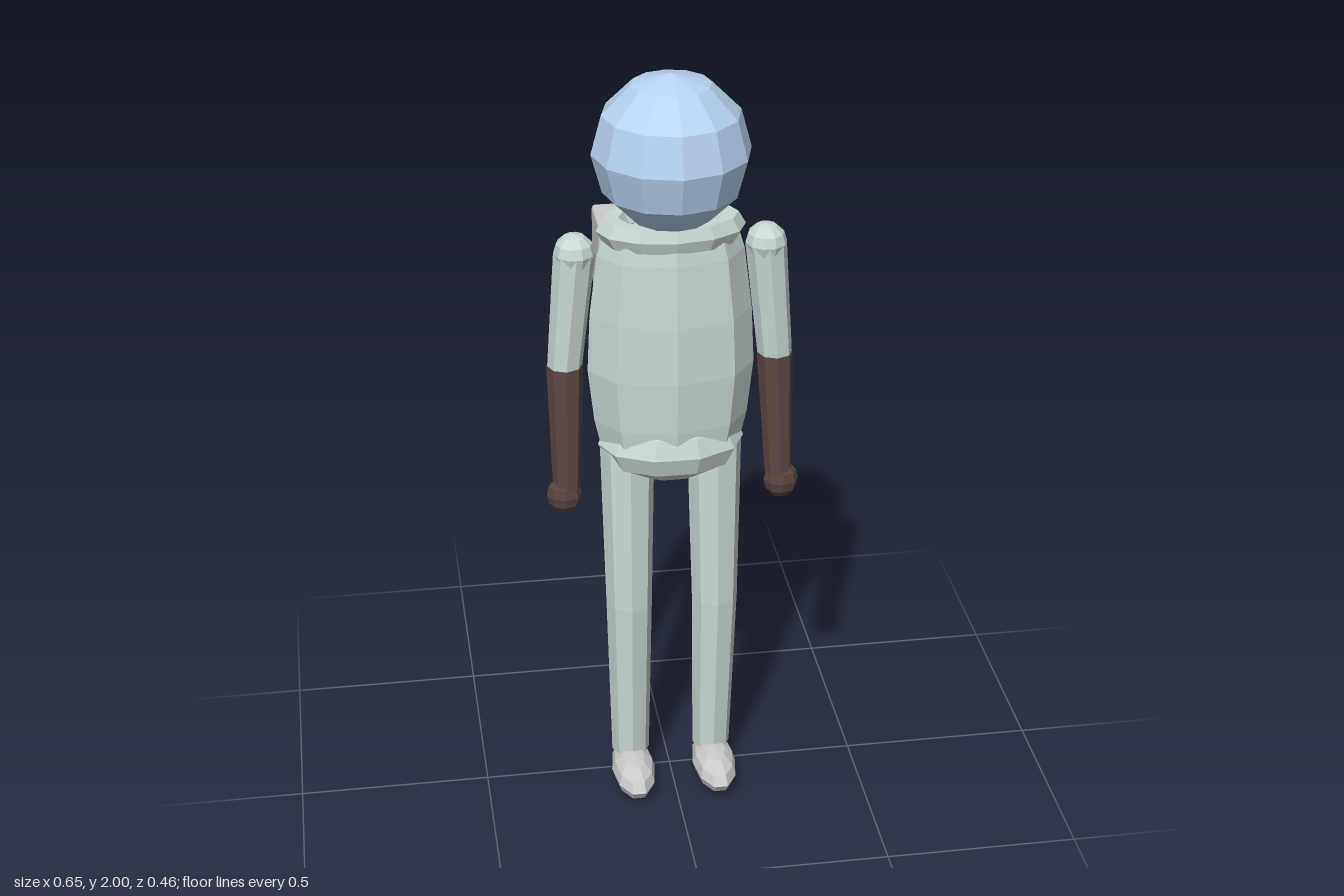
import * as THREE from 'three';
import { RoundedBoxGeometry } from 'three/addons/geometries/RoundedBoxGeometry.js';

const paint = (color) => new THREE.MeshStandardMaterial({ color, flatShading: true });

export function createModel() {
  const model = new THREE.Group();
  const suit = paint(0xc8d8d4);
  const glass = paint(0xb8d4f0);
  const dark = paint(0x5a4540);
  const grey = paint(0xcccccc);

  function add(name, geometry, material, x = 0, y = 0, z = 0) {
    const mesh = new THREE.Mesh(geometry, material);
    mesh.name = name;
    mesh.position.set(x, y, z);
    model.add(mesh);
    return mesh;
  }

  // Low-poly ball stretched to the given radii
  const ball = (rx, ry, rz, sides = 8, rows = 6) =>
    new THREE.SphereGeometry(1, sides, rows).scale(rx, ry, rz);

  // Closed limb through rings [radius, x, y, z], listed from bottom to top
  function limb(rings, sides = 8) {
    const first = rings[0], last = rings[rings.length - 1];
    const all = [[0, ...first.slice(1)], ...rings, [0, ...last.slice(1)]];
    const geometry = new THREE.LatheGeometry(all.map(([r, , y]) => new THREE.Vector2(r, y)), sides);
    const pos = geometry.attributes.position;
    for (let i = 0; i < pos.count; i++) {
      const [, x, , z] = all[i % all.length];
      pos.setX(i, pos.getX(i) + x);
      pos.setZ(i, pos.getZ(i) + z);
    }
    geometry.computeVertexNormals();
    return geometry;
  }

  // Helmet
  add('helmet', ball(0.195, 0.195, 0.195, 12, 6), glass, 0, 1.805, 0.033);

  // Torso, flattened front to back
  const profile = [[0, 1.0], [0.175, 1.0], [0.195, 1.09], [0.21, 1.23], [0.203, 1.38],
    [0.183, 1.54], [0.165, 1.6], [0, 1.61]].map(([r, y]) => new THREE.Vector2(r, y));
  add('torso', new THREE.LatheGeometry(profile, 8).scale(1, 1, 0.57), suit, 0, 0, 0.027);

  // Neck collar and pelvis
  const collar = new THREE.TorusGeometry(0.148, 0.037, 6, 12).rotateX(Math.PI / 2).scale(1, 1, 0.58);
  add('collar', collar, suit, 0, 1.605, 0.027);
  add('pelvis', ball(0.187, 0.1, 0.125, 10, 6), suit, 0, 1.02, 0.025);

  // Backpack
  add('backpack', new RoundedBoxGeometry(0.33, 0.42, 0.15, 2, 0.01), grey, 0, 1.36, -0.155);

  for (const [side, s] of [['left', 1], ['right', -1]]) {
    // Arm
    add(side + 'Shoulder', ball(0.052, 0.05, 0.055, 10, 6), suit, s * 0.237, 1.55, 0.022);
    add(side + 'UpperArm', limb([[0.044, s * 0.266, 1.24, 0.016], [0.052, s * 0.237, 1.55, 0.022]]), suit);
    add(side + 'Forearm', limb([[0.035, s * 0.272, 0.93, 0.064], [0.046, s * 0.266, 1.245, 0.016]]), dark);
    add(side + 'Hand', ball(0.045, 0.05, 0.038), dark, s * 0.279, 0.905, 0.066);

    // Leg and boot
    add(side + 'Leg', limb([[0.05, s * 0.11, 0.08, 0.025], [0.06, s * 0.113, 0.56, 0.046],
      [0.07, s * 0.112, 1.02, 0.025]]), suit);
    add(side + 'Boot', ball(0.058, 0.05, 0.13, 10, 6), grey, s * 0.11, 0.05, 0.08);
  }
  return model;
}
